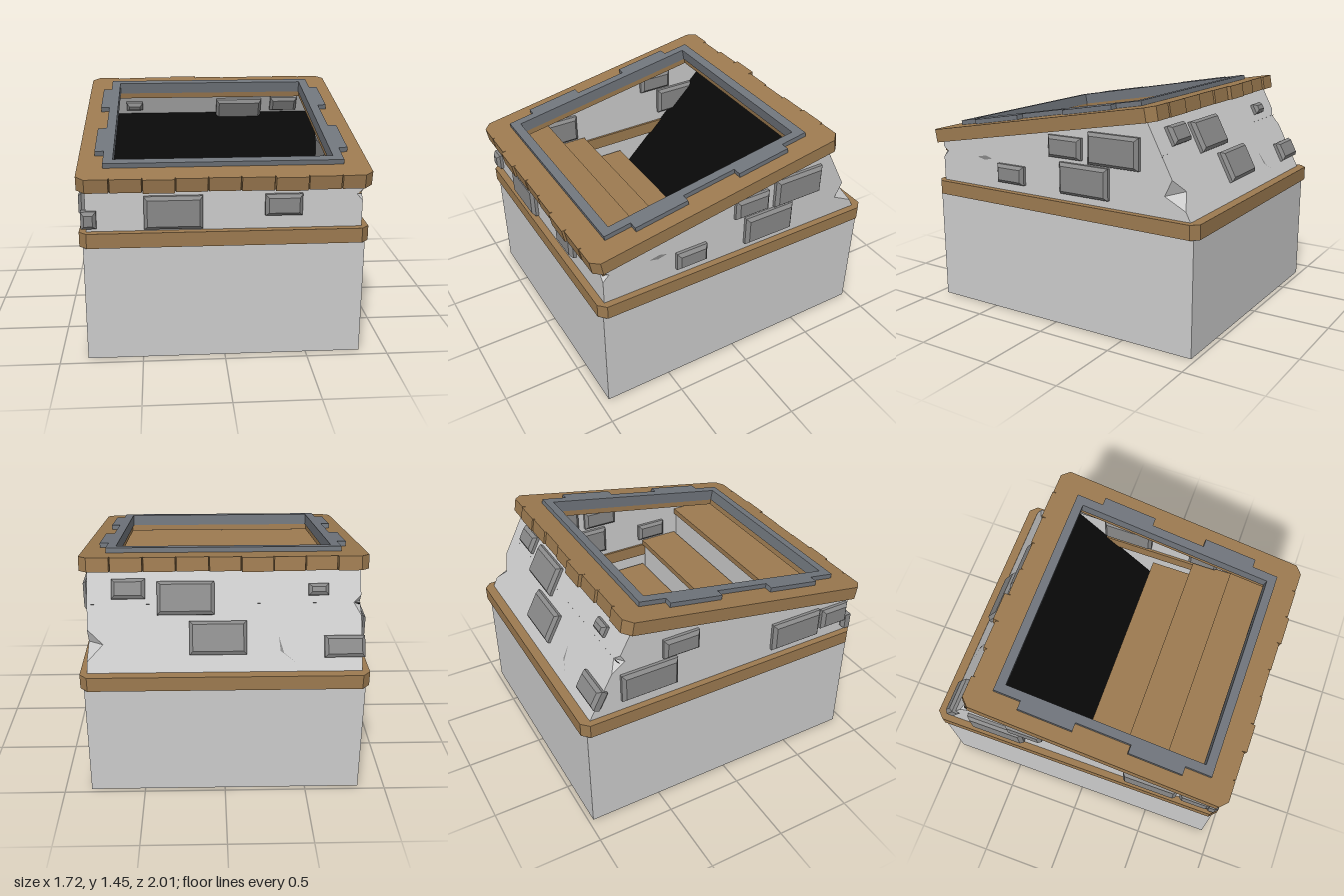
import * as THREE from 'three';

const mat = (color) => new THREE.MeshStandardMaterial({ color, flatShading: true, side: THREE.DoubleSide });
const STONE = mat(0xcccccc), BRICK = mat(0x898989), WOOD = mat(0x9c7a50), METAL = mat(0x70757c), DARK = mat(0x080808);

const V = (x, y) => new THREE.Vector2(x, y);
const add = (parent, name, geo, material) => {
  const m = new THREE.Mesh(geo, material);
  m.name = name;
  parent.add(m);
  return m;
};
// Plate drawn in x/z, with its top at local y = 0
const plate = (outline, hole, depth) => {
  const s = new THREE.Shape(outline);
  if (hole) s.holes.push(new THREE.Path(hole));
  return new THREE.ExtrudeGeometry(s, { depth, bevelEnabled: false }).rotateX(Math.PI / 2);
};
const rect = (x, z0, z1) => [V(-x, z0), V(x, z0), V(x, z1), V(-x, z1)];
const chamfered = (x, z0, z1, c) => [
  V(-x + c, z0), V(x - c, z0), V(x, z0 + c), V(x, z1 - c),
  V(x - c, z1), V(-x + c, z1), V(-x, z1 - c), V(-x, z0 + c)];

// Flat outline placed in space by a rule
const sheet = (outline, place) => {
  const g = new THREE.ShapeGeometry(new THREE.Shape(outline.map(([a, b]) => V(a, b))));
  const p = g.attributes.position;
  for (let i = 0; i < p.count; i++) p.setXYZ(i, ...place(p.getX(i), p.getY(i)));
  g.computeVertexNormals();
  return g;
};
const triangles = (points) => {
  const g = new THREE.BufferGeometry();
  g.setAttribute('position', new THREE.Float32BufferAttribute(points.flat(), 3));
  g.computeVertexNormals();
  return g;
};

// Wall planes: the back wall leans forward
const WX = 0.815, WF = 0.92, Y0 = 0.78;
const backZ = (y) => -0.955 + 0.527 * (y - Y0);
const LEAN = Math.atan(0.527);
const onLeft = (z, y) => [WX, y, z], onRight = (z, y) => [-WX, y, z];
const onFront = (x, y) => [x, y, WF], onBack = (x, y) => [x, y, backZ(y)];

function addWalls(g) {
  // Outlines include the corners broken out of the edges
  const sideTop = [[-0.644, 1.37], [WF, 1.09], [WF, Y0]];
  const left = [[backZ(Y0), Y0], [backZ(0.87), 0.87], [-0.77, 0.94], [backZ(1.04), 1.04],
    sideTop[0], sideTop[1], [WF, 1.04], [0.88, 1.01], [WF, 0.97], sideTop[2]];
  const right = [[backZ(Y0), Y0], [backZ(1.1), 1.1], [-0.7, 1.16], [backZ(1.21), 1.21], ...sideTop];
  const front = [[-WX, Y0], [WX, Y0], [WX, 0.97], [0.78, 1.01], [WX, 1.04], [WX, 1.09], [-WX, 1.09]];
  const back = [[-WX, Y0], [WX, Y0], [WX, 0.87], [0.72, 0.96], [WX, 1.04], [WX, 1.37],
    [-WX, 1.37], [-WX, 1.21], [-0.77, 1.17], [-WX, 1.1]];
  add(g, 'leftWall', sheet(left, onLeft), STONE);
  add(g, 'rightWall', sheet(right, onRight), STONE);
  add(g, 'frontWall', sheet(front, onFront), STONE);
  add(g, 'backWall', sheet(back, onBack), STONE);

  const chip = (a, b, low, high) => add(g, 'chippedCorner', triangles([a, b, low, b, a, high]), STONE);
  chip(onLeft(-0.77, 0.94), onBack(0.72, 0.96), onBack(WX, 0.87), onBack(WX, 1.04));
  chip(onRight(-0.7, 1.16), onBack(-0.77, 1.17), onBack(-WX, 1.1), onBack(-WX, 1.21));
  chip(onLeft(0.88, 1.01), onFront(0.78, 1.01), onFront(WX, 0.97), onFront(WX, 1.04));

  // Small cracks
  add(g, 'crack', sheet([[0.62, 1.005], [0.55, 1.02], [0.5, 1.005], [0.56, 0.99]],
    (z, y) => [WX + 0.003, y, z]), BRICK);
  add(g, 'crack', sheet([[-0.42, 0.86], [-0.35, 0.91], [-0.32, 1.0], [-0.33, 0.92], [-0.39, 0.88]],
    (x, y) => [x, y, backZ(y) - 0.004]), BRICK);
}

// Bevelled stone that sits through a wall
function addBrick(g, w, h, pos, rx, ry) {
  const b = 0.02;
  const s = new THREE.Shape([V(-w / 2 + b, -h / 2 + b), V(w / 2 - b, -h / 2 + b), V(w / 2 - b, h / 2 - b), V(-w / 2 + b, h / 2 - b)]);
  const geo = new THREE.ExtrudeGeometry(s, { depth: 0.04, bevelThickness: 0.02, bevelSize: b, bevelSegments: 1 });
  const m = add(g, 'brick', geo.translate(0, 0, -0.02), BRICK);
  m.position.set(...pos);
  m.rotation.set(rx, ry, 0);
}

function addBricks(g) {
  // Each row: centre along the wall, height, width, tallness
  const rows = [
    [onLeft, 0, Math.PI / 2, [[-0.09, 1.147, 0.24, 0.135], [-0.435, 1.163, 0.35, 0.195], [-0.225, 0.957, 0.35, 0.195], [0.335, 0.925, 0.21, 0.12]]],
    [onRight, 0, Math.PI / 2, [[-0.34, 1.16, 0.24, 0.13], [-0.55, 0.98, 0.37, 0.19], [0.5, 0.96, 0.36, 0.19], [0.8, 0.97, 0.2, 0.14]]],
    [onFront, 0, 0, [[-0.303, 0.925, 0.345, 0.2], [0.345, 0.96, 0.22, 0.13], [-0.797, 0.887, 0.09, 0.105]]],
    [onBack, LEAN, 0, [[-0.71, 0.94, 0.24, 0.13], [0.04, 0.99, 0.34, 0.2], [0.23, 1.2, 0.34, 0.2], [0.57, 1.25, 0.2, 0.12], [-0.56, 1.24, 0.12, 0.07]]],
  ];
  for (const [place, rx, ry, list] of rows)
    for (const [a, y, w, h] of list) addBrick(g, w, h, place(a, y), rx, ry);
}

function addRoof(g) {
  const roof = new THREE.Group();
  roof.name = 'slopingRoof';
  roof.position.set(0, 1.2975, 0.145);
  roof.rotation.x = 0.176;
  g.add(roof);

  // Plank ends along front and back are parted by narrow slits
  const joints = [-0.67, -0.48, -0.29, -0.1, 0.09, 0.285, 0.48, 0.675];
  const plankEdge = (ends) => {
    const pts = [V(-0.81, ends[0])];
    joints.forEach((x, i) => pts.push(V(x - 0.004, ends[i]), V(x, 0.842), V(x + 0.004, ends[i + 1])));
    pts.push(V(0.81, ends[joints.length]));
    return pts;
  };
  const front = plankEdge([0.862, 0.862, 0.876, 0.864, 0.86, 0.864, 0.876, 0.864, 0.862]);
  const back = plankEdge([0.865, 0.855, 0.868, 0.885, 0.862, 0.855, 0.864, 0.87, 0.865]).map((p) => V(p.x, -p.y));
  const outline = [...back, V(0.86, -0.815), V(0.86, 0.815), ...front.reverse(), V(-0.86, 0.815), V(-0.86, -0.815)];
  add(roof, 'woodenRoofBorder', plate(outline, rect(0.66, -0.66, 0.66), 0.086), WOOD);

  // Metal rim with two hinge-like tabs on each side
  const side = [V(0.71, -0.71)];
  for (const [a, b] of [[-0.535, -0.18], [0.18, 0.535]])
    side.push(V(0.71, a), V(0.765, a), V(0.765, b), V(0.71, b));
  side.push(V(0.71, 0.71));
  const rim = [...side, ...side.map((p) => V(-p.x, p.y)).reverse()];
  add(roof, 'metalRim', plate(rim, rect(0.652, -0.652, 0.652), 0.075), METAL).position.y = 0.03;
}

function addStairs(g) {
  // Wooden treads lead down from the front into the dark
  const edges = [0.915, 0.545, 0.265, -0.03], tops = [1.05, 0.85, 0.64];
  tops.forEach((y, i) => {
    const len = edges[i] - edges[i + 1];
    add(g, 'stairTread', new THREE.BoxGeometry(1.61, 0.04, len), WOOD)
      .position.set(0, y - 0.02, edges[i + 1] + len / 2);
    add(g, 'stairRiser', new THREE.BoxGeometry(1.61, 0.2, 0.02), STONE)
      .position.set(0, y - 0.14, edges[i + 1] + 0.03);
  });
  // Thin splits in the treads
  const split = (pts, y) => add(g, 'treadSplit', sheet(pts, (x, z) => [x, y, z]), WOOD);
  split([[-0.6, 0.635], [0.23, 0.615], [0.47, 0.63], [-0.38, 0.67]], 1.053);
  split([[0.17, 0.185], [0.4, 0.14], [0.61, 0.075], [0.4, 0.17]], 0.643);
  add(g, 'darkShaft', sheet([[-0.81, 0.4], [0.81, 0.4], [0.81, 1.17], [-0.81, 1.17]],
    (x, y) => [x, y, 0.42 - y]), DARK);
}

export function createModel() {
  const g = new THREE.Group();
  g.name = 'cellarEntrance';

  // Foundation box, open at the top
  const box = new THREE.BoxGeometry(1.67, 0.78, 1.91);
  const idx = Array.from(box.index.array);
  idx.splice(12, 6);
  box.setIndex(idx);
  box.clearGroups();
  add(g, 'foundation', box, STONE).position.set(0, 0.39, -0.015);

  add(g, 'woodenBand', plate(chamfered(0.857, -1, 0.965, 0.045), rect(0.8, -0.94, 0.9), 0.09), WOOD)
    .position.y = 0.812;

  addWalls(g);
  addBricks(g);
  addStairs(g);
  addRoof(g);
  return g;
}
